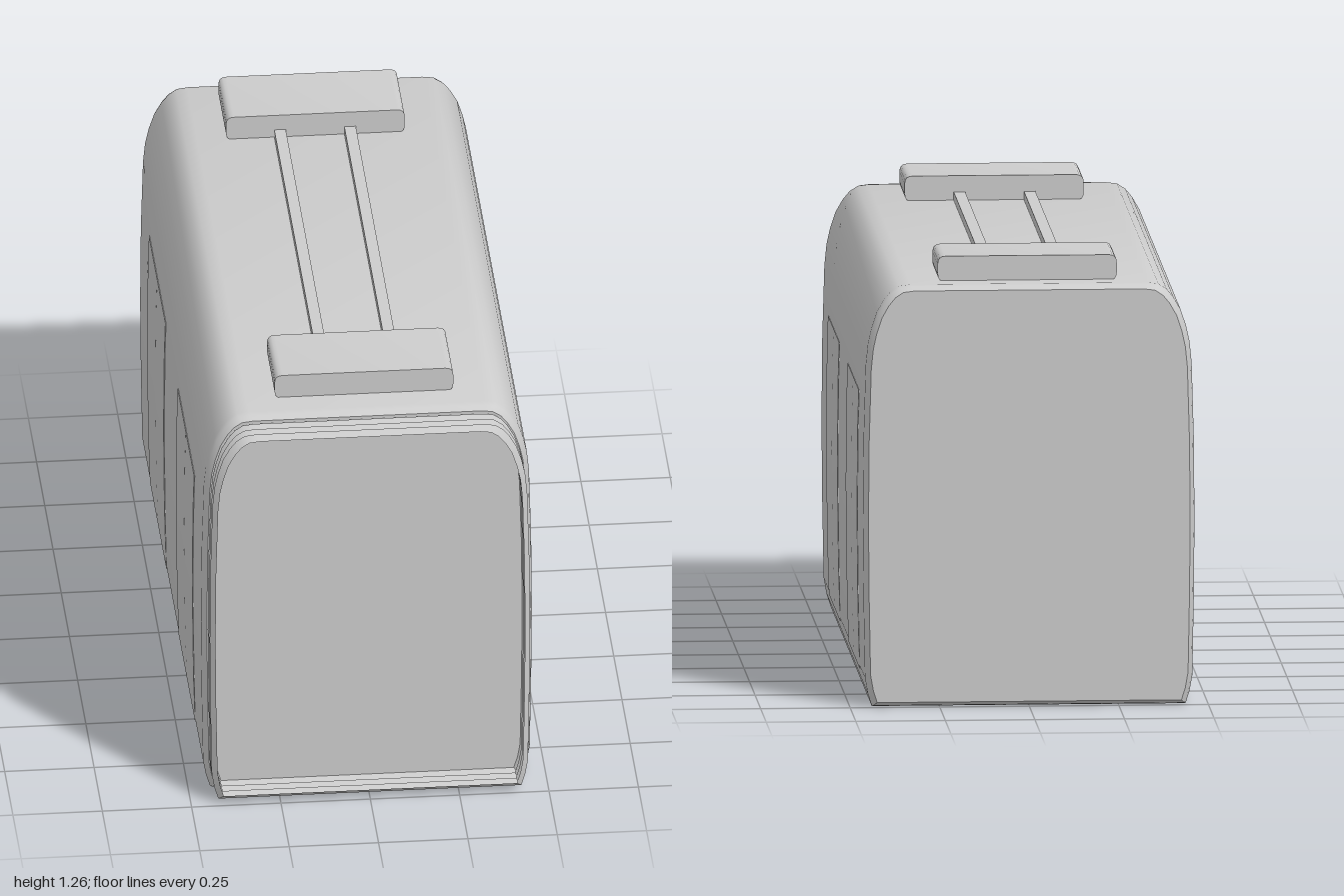
import * as THREE from 'three';
import { toCreasedNormals } from 'three/addons/utils/BufferGeometryUtils.js';

// Right half of the cross-section, from floor to roof (x, y)
const HALF = [
  [0.438, 0], [0.449, 0.035], [0.457, 0.08], [0.461, 0.3], [0.463, 0.52], [0.461, 0.75],
  [0.455, 0.96], [0.449, 1.02], [0.439, 1.065], [0.424, 1.11], [0.404, 1.145],
  [0.385, 1.168], [0.362, 1.183], [0.33, 1.187],
];
const PROFILE = [...HALF, ...HALF.map(([x, y]) => [-x, y]).reverse()];

// Cross-section shrunk evenly towards its middle
const ring = (inset) => PROFILE.map(([x, y]) => [
  x * (1 - inset / 0.463), 0.595 + (y - 0.595) * (1 - inset / 0.595),
]);

// Skin through sections given as [z, inset]
function loft(sections) {
  const pos = [], index = [], n = PROFILE.length;
  sections.forEach(([z, inset], i) => {
    ring(inset).forEach(([x, y]) => pos.push(x, y, z));
    if (i === 0) return;
    for (let j = 0; j < n; j++) {
      const k = (j + 1) % n;
      const a = (i - 1) * n + j, b = (i - 1) * n + k, c = i * n + k, d = i * n + j;
      index.push(a, b, c, a, c, d);
    }
  });
  const g = new THREE.BufferGeometry();
  g.setAttribute('position', new THREE.Float32BufferAttribute(pos, 3));
  g.setIndex(index);
  return toCreasedNormals(g.toNonIndexed(), 0.65);
}

const shapeOf = (pts) => new THREE.Shape(pts.map(([x, y]) => new THREE.Vector2(x, y)));

// Side wall x at a given height
function wallX(y) {
  const i = HALF.findIndex((p) => p[1] >= y);
  const [x0, y0] = HALF[i - 1], [x1, y1] = HALF[i];
  return x0 + ((x1 - x0) * (y - y0)) / (y1 - y0);
}

export function createModel() {
  const model = new THREE.Group();
  model.name = 'carriage';
  const grey = new THREE.MeshStandardMaterial({ color: 0xcccccc });
  grey.name = 'grey';
  const greySleeve = grey;
  greySleeve.side = THREE.DoubleSide;

  const add = (name, geometry, parent = model) => {
    const mesh = new THREE.Mesh(geometry, grey);
    mesh.name = name;
    parent.add(mesh);
    return mesh;
  };

  // Body shell with softened ends, closed by two walls
  add('body', loft([[-1, 0.014], [-0.985, 0.004], [-0.97, 0], [0.88, 0], [0.895, 0.004], [0.91, 0.014]]));
  const wall = new THREE.ShapeGeometry(shapeOf(ring(0.014)));
  add('frontWall', wall).position.z = 0.91;
  const back = add('backWall', wall);
  back.position.z = -1;
  back.rotation.y = Math.PI;

  // Open folded sleeve at the front
  const folds = [];
  for (let i = 0; i <= 6; i++) folds.push([0.91 + i * 0.015, i % 2 ? 0.015 : 0.03]);
  add('bellows', loft(folds));

  // Double doors following the curve of both sides
  const heights = [0.07, 0.19, 0.3, 0.41, 0.52, 0.63, 0.75, 0.855];
  for (const side of [1, -1]) {
    const outer = heights.map((y) => [side * (wallX(y) + 0.002), y]);
    const inner = heights.map((y) => [side * (wallX(y) - 0.004), y]).reverse();
    const section = shapeOf([...outer, ...inner]);
    for (const z of [0.39, -0.485]) {
      const doors = new THREE.Group();
      doors.name = side > 0 ? 'leftDoors' : 'rightDoors';
      model.add(doors);
      for (const start of [z - 0.25, z + 0.001]) {
        const leaf = new THREE.ExtrudeGeometry(section, { depth: 0.249, bevelEnabled: false });
        add('doorLeaf', toCreasedNormals(leaf, 0.5), doors).position.z = start;
      }
    }
  }

  // Roof boxes with rounded long edges
  const w = 0.25, y0 = 1.184, y1 = 1.256, r = 0.022;
  const box = new THREE.Shape();
  box.moveTo(-w + r, y0).lineTo(w - r, y0);
  box.quadraticCurveTo(w, y0, w, y0 + r).lineTo(w, y1 - r);
  box.quadraticCurveTo(w, y1, w - r, y1).lineTo(-w + r, y1);
  box.quadraticCurveTo(-w, y1, -w, y1 - r).lineTo(-w, y0 + r);
  box.quadraticCurveTo(-w, y0, -w + r, y0);
  const boxGeometry = toCreasedNormals(
    new THREE.ExtrudeGeometry(box, { depth: 0.232, bevelEnabled: false, curveSegments: 4 }), 0.6);
  add('frontRoofBox', boxGeometry).position.z = 0.574;
  add('rearRoofBox', boxGeometry).position.z = -0.905;

  // Rails joining the roof boxes
  for (const x of [-0.099, 0.097]) {
    add('roofRail', new THREE.BoxGeometry(0.032, 0.03, 1.26)).position.set(x, 1.195, -0.05);
  }
  return model;
}
